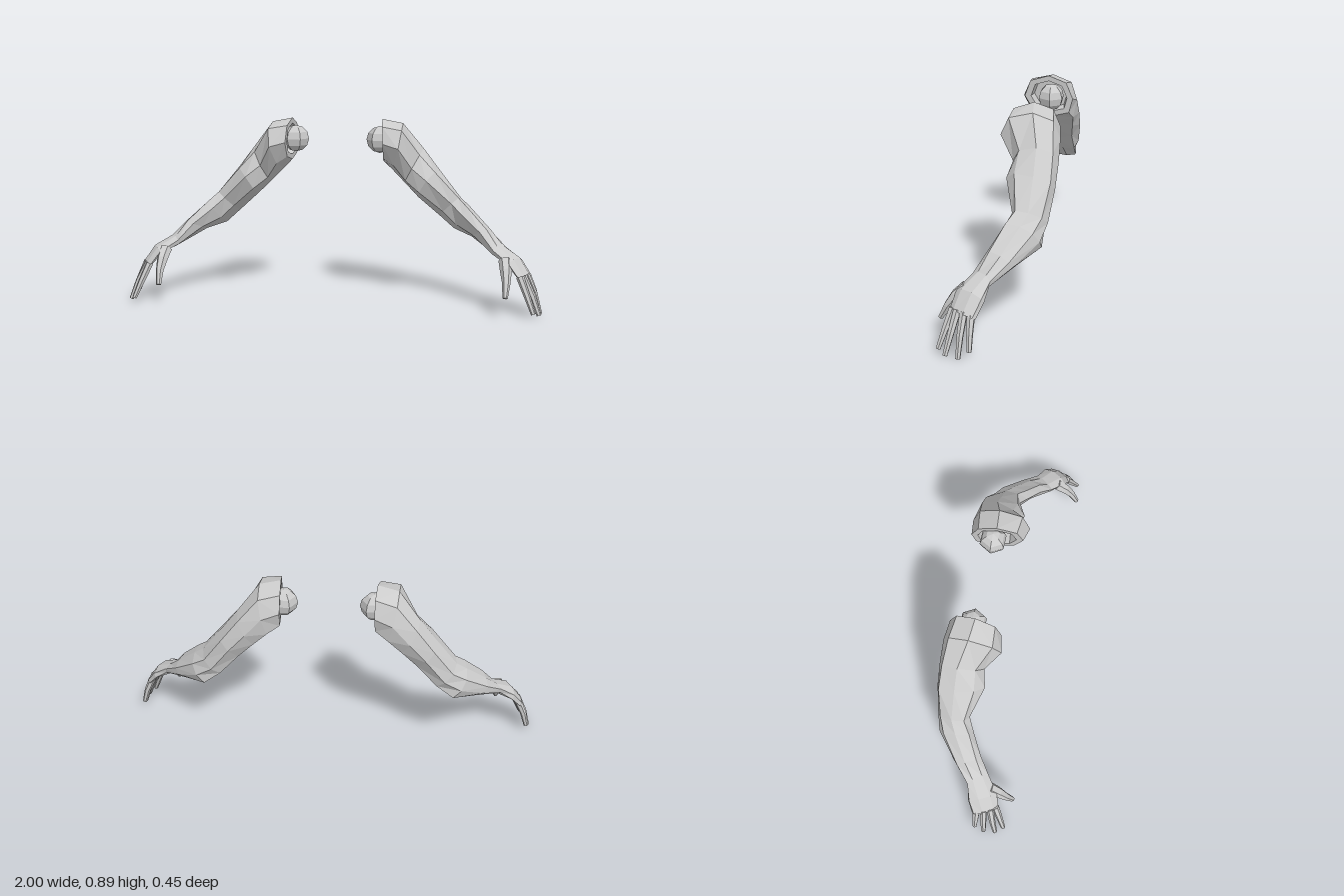
import * as THREE from 'three';

const material = new THREE.MeshStandardMaterial({ color: 0xcccccc, flatShading: true });
const V = (p) => new THREE.Vector3(...p);

// Skin a list of rings, closed by a fan at both ends; side = -1 mirrors it in x
function loft(name, rings, side) {
  const pos = [];
  const n = rings[0].length;
  const tri = (a, b, c) => {
    for (const p of side > 0 ? [a, b, c] : [a, c, b]) pos.push(p.x * side, p.y, p.z);
  };
  const centre = (r) => r.reduce((s, p) => s.add(p), new THREE.Vector3()).divideScalar(n);
  const last = rings.length - 1;
  const c0 = centre(rings[0]);
  const c1 = centre(rings[last]);
  for (let j = 0; j < n; j++) {
    const k = (j + 1) % n;
    for (let i = 0; i < last; i++) {
      const a = rings[i], b = rings[i + 1];
      tri(a[j], a[k], b[k]);
      tri(a[j], b[k], b[j]);
    }
    tri(c0, rings[0][k], rings[0][j]);
    tri(c1, rings[last][j], rings[last][k]);
  }
  const g = new THREE.BufferGeometry();
  g.setAttribute('position', new THREE.Float32BufferAttribute(pos, 3));
  g.computeVertexNormals();
  const mesh = new THREE.Mesh(g, material);
  mesh.name = name;
  return mesh;
}

// Eight-sided section from its top, front, bottom and back points
function section(points) {
  const q = points.map(V);
  const c = q.reduce((s, p) => s.add(p), new THREE.Vector3()).divideScalar(4);
  return q.flatMap((p, i) => {
    const next = q[(i + 1) % 4];
    const corner = p.clone().add(next).addScaledVector(c, -2).multiplyScalar(0.74).add(c);
    return [p, corner];
  });
}

// Tapered six-sided finger along a path
function finger(name, path, radii, side) {
  const pts = path.map(V);
  const rings = pts.map((p, i) => {
    const axis = pts[Math.min(i + 1, pts.length - 1)].clone().sub(pts[Math.max(i - 1, 0)]).normalize();
    const u = new THREE.Vector3(1, 0, 0).addScaledVector(axis, -axis.x).normalize();
    const w = axis.clone().cross(u);
    return Array.from({ length: 6 }, (_, k) => {
      const t = (k * Math.PI) / 3;
      return p.clone().addScaledVector(u, Math.cos(t) * radii[i]).addScaledVector(w, Math.sin(t) * radii[i]);
    });
  });
  return loft(name, rings, side);
}

// Sections from shoulder to knuckles: top, front, bottom, back
const ARM = [
  [[0.22, 0.89, -0.09], [0.235, 0.78, 0.03], [0.225, 0.685, -0.11], [0.215, 0.78, -0.21]],
  [[0.32, 0.87, -0.1], [0.31, 0.76, 0.047], [0.27, 0.64, -0.12], [0.3, 0.75, -0.222]],
  [[0.42, 0.745, -0.132], [0.37, 0.66, -0.02], [0.33, 0.578, -0.12], [0.38, 0.66, -0.225]],
  [[0.5, 0.64, -0.132], [0.44, 0.605, -0.003], [0.4, 0.51, -0.1], [0.46, 0.57, -0.222]],
  [[0.6, 0.513, -0.127], [0.56, 0.49, -0.05], [0.5, 0.42, -0.13], [0.55, 0.45, -0.205]],
  [[0.65, 0.47, -0.1], [0.615, 0.44, -0.02], [0.572, 0.355, -0.14], [0.63, 0.395, -0.183]],
  [[0.75, 0.375, -0.035], [0.7, 0.37, 0.03], [0.66, 0.33, -0.075], [0.74, 0.325, -0.09]],
  [[0.81, 0.31, 0.015], [0.765, 0.295, 0.08], [0.785, 0.26, 0.04], [0.83, 0.27, -0.002]],
  [[0.887, 0.265, 0.06], [0.835, 0.25, 0.135], [0.845, 0.237, 0.08], [0.89, 0.225, 0.008]],
  [[0.937, 0.187, 0.09], [0.885, 0.182, 0.155], [0.905, 0.17, 0.1], [0.935, 0.168, 0.035]],
];

// Each finger: base, middle joint, tip
const FINGERS = {
  indexFinger: [[0.89, 0.19, 0.14], [0.925, 0.105, 0.168], [0.955, 0.027, 0.192]],
  middleFinger: [[0.905, 0.19, 0.118], [0.95, 0.1, 0.138], [0.982, 0.014, 0.157]],
  ringFinger: [[0.918, 0.19, 0.088], [0.96, 0.1, 0.096], [0.988, 0.007, 0.101]],
  littleFinger: [[0.925, 0.18, 0.056], [0.957, 0.11, 0.056], [0.978, 0.037, 0.055]],
};

function buildArm(side) {
  const arm = new THREE.Group();
  arm.name = side > 0 ? 'leftArm' : 'rightArm';

  // Arm and palm, with a recessed socket at the shoulder end
  const rings = ARM.map(section);
  const mid = new THREE.Vector3(0.224, 0.784, -0.095);
  const inset = rings[0].map((p) => p.clone().lerp(mid, 0.25));
  const deep = inset.map((p) => p.clone().lerp(mid, 0.1).add(new THREE.Vector3(0.05, 0, 0)));
  arm.add(loft('armAndPalm', [deep, inset, ...rings], side));

  // Shoulder ball
  const ball = new THREE.Mesh(new THREE.SphereGeometry(0.065, 6, 6), material);
  ball.name = 'shoulderBall';
  ball.position.set(0.207 * side, 0.788, -0.106);
  arm.add(ball);

  // Fingers and thumb
  for (const [name, path] of Object.entries(FINGERS)) {
    arm.add(finger(name, path, [0.018, 0.015, 0.011], side));
  }
  const thumb = [[0.82, 0.255, 0.095], [0.825, 0.215, 0.14], [0.828, 0.165, 0.177], [0.824, 0.103, 0.211]];
  arm.add(finger('thumb', thumb, [0.03, 0.027, 0.019, 0.012], side));
  return arm;
}

export function createModel() {
  const model = new THREE.Group();
  model.name = 'armPair';
  for (const side of [1, -1]) model.add(buildArm(side));
  return model;
}
